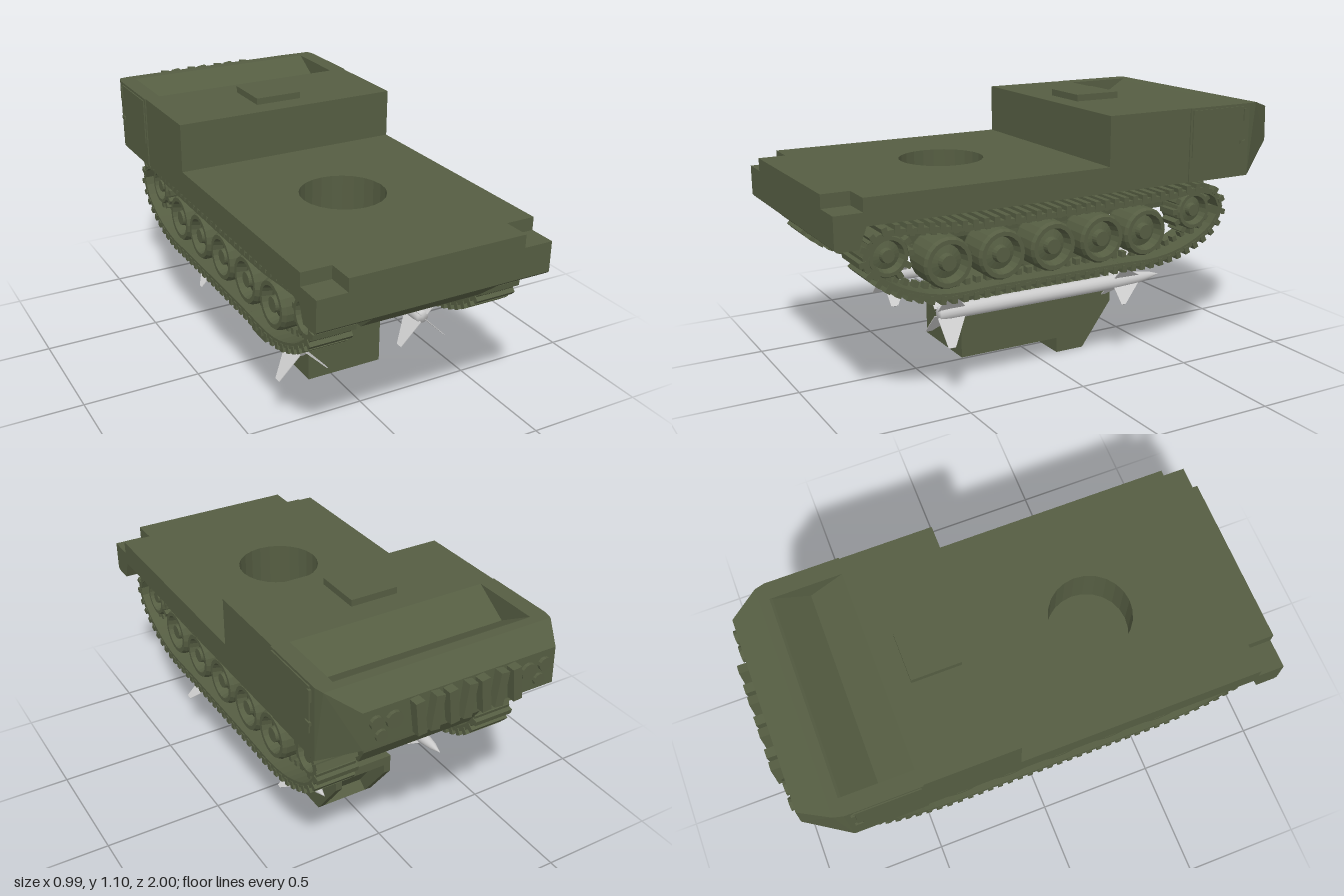
import * as THREE from 'three';
import { ConvexGeometry } from 'three/addons/geometries/ConvexGeometry.js';

export function createModel() {
  const root = new THREE.Group();
  const olive = new THREE.MeshStandardMaterial({ color: 0x555d42, flatShading: true });
  const oliveSmooth = new THREE.MeshStandardMaterial({ color: 0x555d42 });
  const grey = new THREE.MeshStandardMaterial({ color: 0xcccccc });

  const add = (parent, name, geo, mat = olive, x = 0, y = 0, z = 0) => {
    const m = new THREE.Mesh(geo, mat);
    m.name = name;
    m.position.set(x, y, z);
    parent.add(m);
    return m;
  };
  // box given by its limits on each axis
  const box = (name, x0, x1, y0, y1, z0, z1) =>
    add(root, name, new THREE.BoxGeometry(x1 - x0, y1 - y0, z1 - z0), olive,
      (x0 + x1) / 2, (y0 + y1) / 2, (z0 + z1) / 2);
  const shape = pts => new THREE.Shape(pts.map(p => new THREE.Vector2(...p)));
  // side profile of [z, y] points, extruded across x
  const profile = (name, pts, half) => {
    const g = new THREE.ExtrudeGeometry(shape(pts), { depth: half * 2, bevelEnabled: false });
    return add(root, name, g.translate(0, 0, -half).rotateY(-Math.PI / 2));
  };
  // plan of [x, -z] points with the round turret well, extruded up
  const deck = (name, pts, y0, y1) => {
    const s = shape(pts);
    s.holes.push(new THREE.Path().absarc(-0.015, -0.36, 0.17, 0, Math.PI * 2, true));
    const g = new THREE.ExtrudeGeometry(s, { depth: y1 - y0, bevelEnabled: false, curveSegments: 12 });
    return add(root, name, g.rotateX(-Math.PI / 2), olive, 0, y0, 0);
  };
  const hull = (name, pts) =>
    add(root, name, new ConvexGeometry(pts.map(p => new THREE.Vector3(...p))));

  // Hull
  deck('lowerDeck', [[-0.48, -1], [0.48, -1], [0.48, 0.5], [-0.48, 0.5]], 0.77, 0.82);
  deck('upperDeck', [[-0.36, -1], [0.36, -1], [0.36, -0.89], [0.48, -0.89], [0.48, 0.13],
    [-0.48, 0.13], [-0.48, -0.89], [-0.36, -0.89]], 0.82, 0.872);
  profile('noseBand', [[1, 0.7], [1, 0.77], [0.88, 0.77], [0.91, 0.69], [0.99, 0.69]], 0.48);
  deck('upperBelly', [[-0.26, -0.95], [0.26, -0.95], [0.26, 0.76], [-0.26, 0.76]], 0.69, 0.77);
  const belly = [];
  for (const s of [-1, 1]) {
    belly.push([s * 0.25, 0.615, 0.9], [s * 0.25, 0.615, -0.71], [s * 0.26, 0.69, -0.76],
      [s * 0.26, 0.69, 0.99]);
  }
  hull('lowerBelly', belly);
  box('rearCompartment', -0.48, 0.48, 0.77, 1.07, -0.5, -0.12);
  box('roofHatch', -0.1, 0.1, 1.07, 1.097, -0.41, -0.21);

  // Cab with a sunken V-shaped roof
  profile('cabCentre', [[-0.5, 0.77], [-0.5, 1.07], [-0.51, 1.07], [-0.65, 0.98], [-0.79, 1.065],
    [-0.8, 1.07], [-0.8, 0.77]], 0.415);
  const nose = [];
  for (const s of [-1, 1]) {
    nose.push([s * 0.485, 0.77, -0.8], [s * 0.485, 1.07, -0.8], [s * 0.475, 1.07, -0.84],
      [s * 0.4, 1.035, -0.96], [s * 0.4, 0.89, -0.965]);
    const span = (a, b) => s > 0 ? [a, b] : [-b, -a];
    box('cabSideWall', ...span(0.415, 0.485), 0.77, 1.07, -0.8, -0.5);
    box('door', ...span(0.48, 0.49), 0.87, 1.06, -0.77, -0.51);
    box('doorHandle', ...span(0.485, 0.495), 0.905, 0.92, -0.78, -0.75);
    box('doorHinge', ...span(0.485, 0.495), 1.0, 1.05, -0.78, -0.765);
    // lamp cluster
    for (const [lx, ly, r] of [[0.28, 0.975, 0.033], [0.35, 0.985, 0.026], [0.33, 0.928, 0.024]]) {
      add(root, 'lamp', new THREE.CylinderGeometry(r, r, 0.02, 12).rotateX(Math.PI / 2),
        olive, s * lx, ly, -0.965);
    }
  }
  hull('cabNose', nose);
  for (let i = 0; i < 7; i++) {
    const bar = box('grilleBar', -0.018, 0.018, 0.895, 1.03, -0.998, -0.955);
    bar.position.x = -0.21 + i * 0.067;
    bar.rotation.z = i % 2 ? 0.12 : -0.12;
  }

  // Running gear, built once per side
  const loop = new THREE.CatmullRomCurve3([[0.57, 0.45], [0.3, 0.45], [-0.2, 0.45], [-0.4, 0.45],
    [-0.55, 0.485], [-0.67, 0.555], [-0.71, 0.63], [-0.68, 0.69], [-0.6, 0.715], [-0.45, 0.705],
    [0, 0.7], [0.5, 0.7], [0.68, 0.715], [0.79, 0.715], [0.855, 0.675], [0.865, 0.61],
    [0.8, 0.54], [0.7, 0.485]]
    .map(([z, y]) => new THREE.Vector3(0, y, z)), true, 'centripetal');
  const wheelGeo = new THREE.LatheGeometry([[0, -0.085], [0.095, -0.085], [0.1, -0.07], [0.1, 0.05],
    [0.092, 0.065], [0.075, 0.065], [0.065, 0.025], [0.035, 0.035], [0.03, 0.06], [0, 0.06]]
    .map(p => new THREE.Vector2(...p)), 20).rotateZ(-Math.PI / 2);
  const linkGeo = new THREE.BoxGeometry(0.165, 0.022, 0.05);
  const treadGeo = new THREE.BoxGeometry(0.172, 0.03, 0.022);
  const hornGeo = new THREE.BoxGeometry(0.03, 0.03, 0.02);
  for (const s of [-1, 1]) {
    const gear = new THREE.Group();
    gear.name = s > 0 ? 'leftTrack' : 'rightTrack';
    root.add(gear);
    const links = 76;
    for (let i = 0; i < links; i++) {
      const p = loop.getPointAt(i / links), t = loop.getTangentAt(i / links);
      const link = new THREE.Group();
      link.name = 'trackLink';
      link.position.set(s * 0.35, p.y, p.z);
      link.rotation.x = Math.atan2(-t.y, t.z);
      add(link, 'plate', linkGeo);
      add(link, 'tread', treadGeo, olive, 0, 0.014, 0);
      add(link, 'guideHorn', hornGeo, olive, 0, -0.02, 0);
      gear.add(link);
    }
    for (const z of [0.535, 0.31, 0.085, -0.14, -0.35]) {
      const w = add(gear, 'roadWheel', wheelGeo, olive, s * 0.35, 0.567, z);
      if (s < 0) w.rotation.y = Math.PI;
      add(gear, 'axle', new THREE.CylinderGeometry(0.025, 0.025, 0.12, 10).rotateZ(Math.PI / 2),
        olive, s * 0.25, 0.6, z);
    }
    for (const z of [0.77, -0.6]) {
      const sprocket = add(gear, 'sprocket', wheelGeo, olive, s * 0.35, 0.625, z);
      sprocket.scale.setScalar(0.82);
      if (s < 0) sprocket.rotation.y = Math.PI;
      for (let i = 0; i < 12; i++) {
        const a = i * Math.PI / 6;
        const tooth = add(gear, 'sprocketTooth', new THREE.BoxGeometry(0.09, 0.03, 0.022), olive,
          s * 0.35, 0.625 + 0.088 * Math.cos(a), z + 0.088 * Math.sin(a));
        tooth.rotation.x = a;
      }
    }
  }

  // Launcher beneath the hull
  add(root, 'turretRing', new THREE.CylinderGeometry(0.135, 0.135, 0.04, 24), olive, 0, 0.605, 0.1);
  profile('launcherBase', [[0.3, 0.6], [0.27, 0.51], [0.06, 0.42], [-0.25, 0.42], [-0.44, 0.6]], 0.167);
  profile('launcherBody', [[0.37, 0.08], [0.37, 0.35], [0.06, 0.355], [0.06, 0.43], [-0.1, 0.43],
    [-0.1, 0.08]], 0.167);
  // Antenna: cheeks around a sunken sloping face
  const dish = [[-0.1, 0], [-0.1, 0.27], [-0.37, 0.27], [-0.37, 0.19], [-0.23, 0]];
  for (const s of [-1, 1]) profile('antennaCheek', dish, 0.015).position.x = s * 0.118;
  profile('antennaCore', [[-0.1, 0], [-0.1, 0.27], [-0.37, 0.27], [-0.37, 0.23], [-0.3, 0.19],
    [-0.19, 0.03], [-0.23, 0]], 0.12);

  // Missiles, nose towards -z
  const bodyGeo = new THREE.LatheGeometry([[0, -0.52], [0.026, -0.52], [0.03, -0.48], [0.03, 0.3],
    [0.026, 0.4], [0.016, 0.47], [0, 0.52]].map(p => new THREE.Vector2(...p)), 16);
  const finGeo = pts => new THREE.ExtrudeGeometry(shape(pts), { depth: 0.003, bevelEnabled: false })
    .translate(0, 0, -0.0015);
  const tailFin = finGeo([[0.02, -0.53], [0.15, -0.53], [0.15, -0.5], [0.02, -0.41]]);
  const foreFin = finGeo([[0.02, 0.28], [0.11, 0.28], [0.11, 0.3], [0.02, 0.41]]);
  for (const s of [-1, 1]) {
    for (const y of [0.328, 0.54]) {
      const missile = new THREE.Group();
      missile.name = 'missile';
      missile.position.set(s * 0.275, y, 0);
      missile.rotation.x = -Math.PI / 2;
      add(missile, 'missileBody', bodyGeo, grey);
      for (let i = 0; i < 4; i++) {
        const a = Math.PI / 4 + i * Math.PI / 2;
        add(missile, 'tailFin', tailFin, grey).rotation.y = a;
        add(missile, 'foreFin', foreFin, grey).rotation.y = a;
      }
      root.add(missile);
      add(root, 'launchRail', new THREE.CylinderGeometry(0.043, 0.043, 0.6, 10).rotateX(Math.PI / 2),
        oliveSmooth, s * 0.205, y - 0.008, 0.05);
    }
  }
  return root;
}
